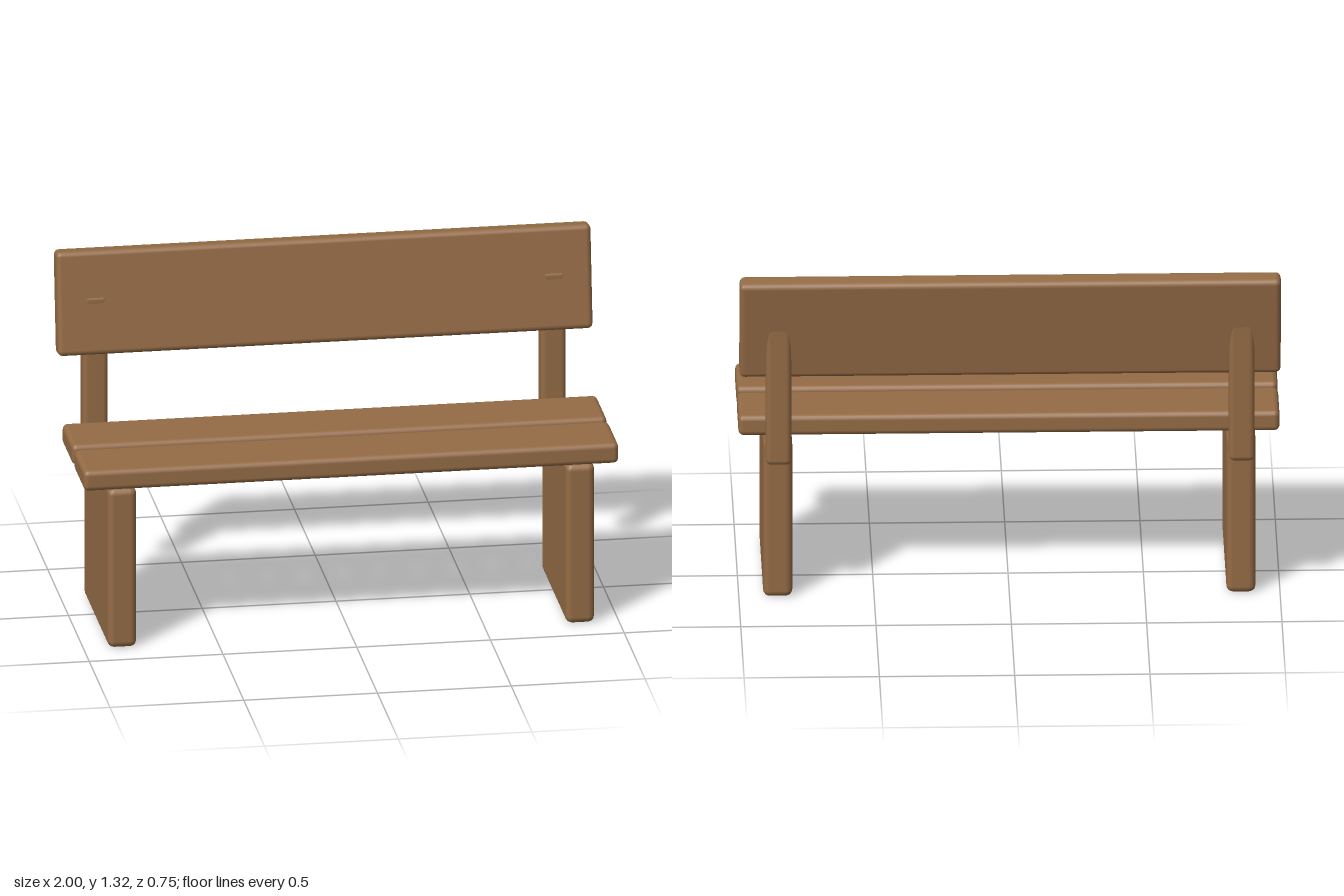
import * as THREE from 'three';
import { RoundedBoxGeometry } from 'three/addons/geometries/RoundedBoxGeometry.js';

export function createModel() {
  const bench = new THREE.Group();
  bench.name = 'bench';

  const wood = new THREE.MeshStandardMaterial({ color: 0x946b45 });
  wood.name = 'wood';

  // Adds a plank with softly rounded edges, given its size and centre
  function plank(name, size, centre, radius = 0.02) {
    const mesh = new THREE.Mesh(new RoundedBoxGeometry(...size, 2, radius), wood);
    mesh.name = name;
    mesh.position.set(...centre);
    bench.add(mesh);
    return mesh;
  }

  // Two seat planks with a gap between them
  plank('frontSeatPlank', [2, 0.08, 0.252], [0, 0.66, 0.25]);
  plank('backSeatPlank', [2, 0.08, 0.252], [0, 0.66, -0.035]);

  // Backrest board, leaning back
  const backrest = plank('backrest', [2, 0.395, 0.082], [0, 1.118, -0.309]);
  backrest.rotation.x = -0.14;

  // Slab legs and the posts that carry the backrest
  for (const [side, s] of [['left', 1], ['right', -1]]) {
    plank(side + 'Leg', [0.108, 0.625, 0.6], [s * 0.856, 0.3165, 0.08], 0.025).position.y = 0.3125;
    plank(side + 'BackPost', [0.095, 0.575, 0.082], [s * 0.856, 0.865, -0.309]);
  }

  return bench;
}
